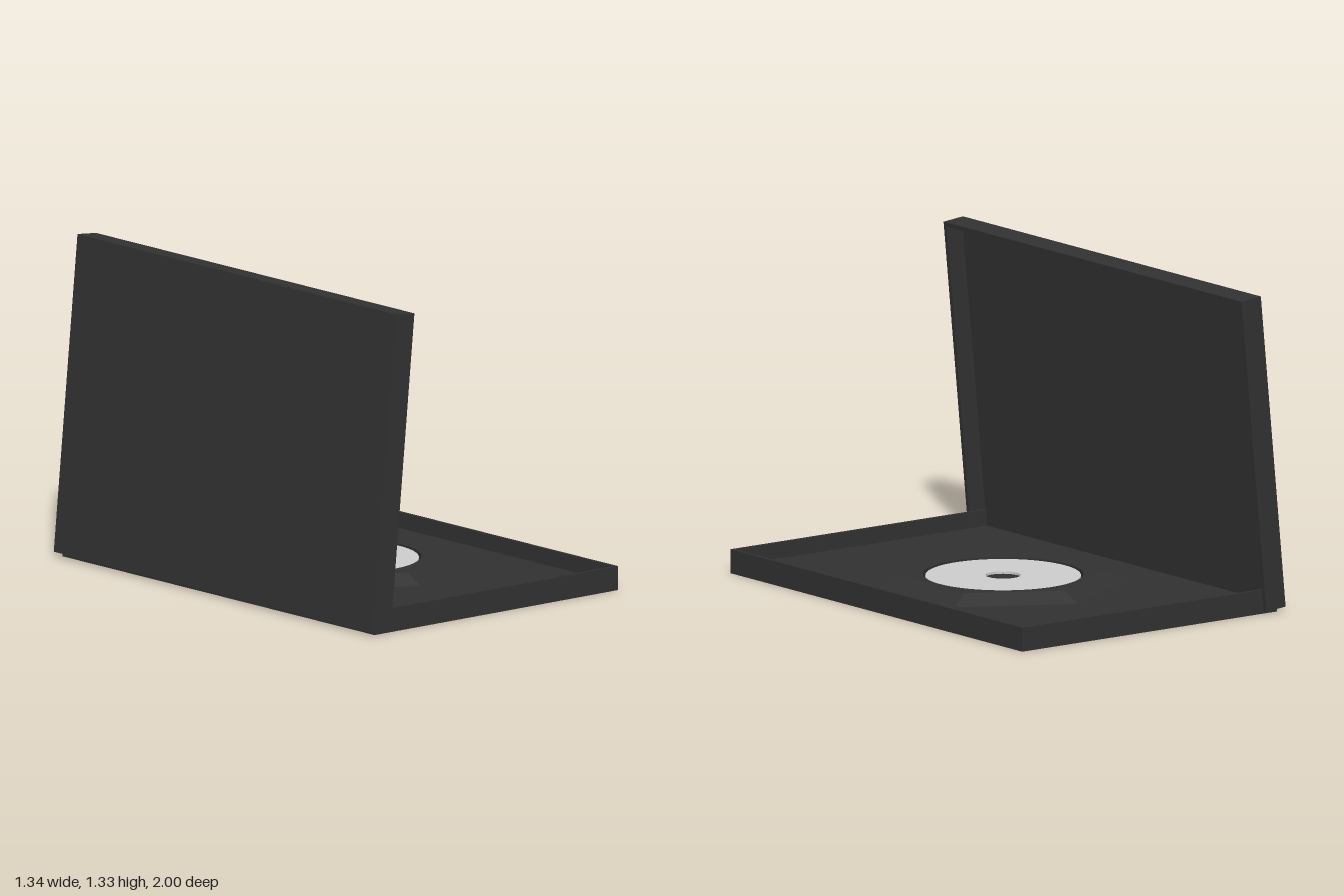
import * as THREE from 'three';

const dark = new THREE.MeshStandardMaterial({ color: 0x313131, side: THREE.DoubleSide });
const darkFlat = new THREE.MeshStandardMaterial({ color: 0x313131, flatShading: true, side: THREE.DoubleSide });
const grey = new THREE.MeshStandardMaterial({ color: 0xcccccc });

function add(parent, name, geometry, material, x = 0, y = 0, z = 0) {
  const mesh = new THREE.Mesh(geometry, material);
  mesh.name = name;
  mesh.position.set(x, y, z);
  parent.add(mesh);
  return mesh;
}

// Box given by its lower corner and size
function slab(parent, name, [x, y, z], [w, h, d]) {
  add(parent, name, new THREE.BoxGeometry(w, h, d), dark, x + w / 2, y + h / 2, z + d / 2);
}

// Shallow tray, open on top and along the hinge (x = 0)
function tray(name, length, height, halfWidth, floor, wall) {
  const g = new THREE.Group();
  g.name = name;
  slab(g, name + 'Panel', [0, 0, -halfWidth], [length, floor, 2 * halfWidth]);
  slab(g, name + 'EndWall', [length - wall, floor, -halfWidth], [wall, height - floor, 2 * halfWidth]);
  for (const z of [-halfWidth, halfWidth - wall])
    slab(g, name + 'SideWall', [0, floor, z], [length - wall, height - floor, wall]);
  return g;
}

// Flat shape lying in the xz plane, extruded upwards
function flatExtrude(shape, depth) {
  return new THREE.ExtrudeGeometry(shape, { depth, bevelEnabled: false, curveSegments: 48 }).rotateX(-Math.PI / 2);
}

function hole(shape, radius) {
  shape.holes.push(new THREE.Path().absarc(0, 0, radius, 0, Math.PI * 2, true));
  return shape;
}

export function createModel() {
  const model = new THREE.Group();
  model.name = 'openDiscCase';

  // Base tray
  const base = tray('base', 1.31, 0.1, 0.98, 0.033, 0.015);
  base.position.set(-0.64, 0, 0);
  model.add(base);

  // Lid: same tray stood on its hinge edge, leaning slightly over the base
  const lid = tray('lid', 1.317, 0.1, 1, 0.018, 0.018);
  const lean = 0.097;
  // local x runs up the lid, local y points to the inside
  const up = new THREE.Vector3(Math.sin(lean), Math.cos(lean), 0);
  const inward = new THREE.Vector3(Math.cos(lean), -Math.sin(lean), 0);
  lid.quaternion.setFromRotationMatrix(
    new THREE.Matrix4().makeBasis(up, inward, new THREE.Vector3(0, 0, -1)));
  lid.position.set(-0.67, 0.02, 0);
  model.add(lid);

  // Raised hexagonal disc holder
  const holder = new THREE.Group();
  holder.name = 'discHolder';
  holder.position.set(0.01, 0, 0.01);
  model.add(holder);
  const floor = 0.033, top = 0.075, innerR = 0.415, outerR = 0.5;
  add(holder, 'holderSlopes',
    new THREE.CylinderGeometry(innerR, outerR, top - floor, 6, 1, true), darkFlat, 0, (floor + top) / 2, 0);

  // Flat top with a round recess for the disc
  const hex = new THREE.Shape();
  for (let i = 0; i < 6; i++) {
    const a = Math.PI / 2 + i * Math.PI / 3;
    hex[i ? 'lineTo' : 'moveTo'](innerR * Math.cos(a), innerR * Math.sin(a));
  }
  hex.closePath();
  add(holder, 'holderTop', flatExtrude(hole(hex, 0.328), top - floor), dark, 0, floor, 0);

  // Disc with its centre hole
  const disc = new THREE.Shape().absarc(0, 0, 0.318, 0, Math.PI * 2, false);
  add(holder, 'disc', flatExtrude(hole(disc, 0.072), 0.01), grey, 0, 0.06, 0);

  // Hub under the centre hole
  add(holder, 'hub', new THREE.CylinderGeometry(0.056, 0.056, 0.03, 32), dark, 0, 0.048, 0);

  return model;
}
